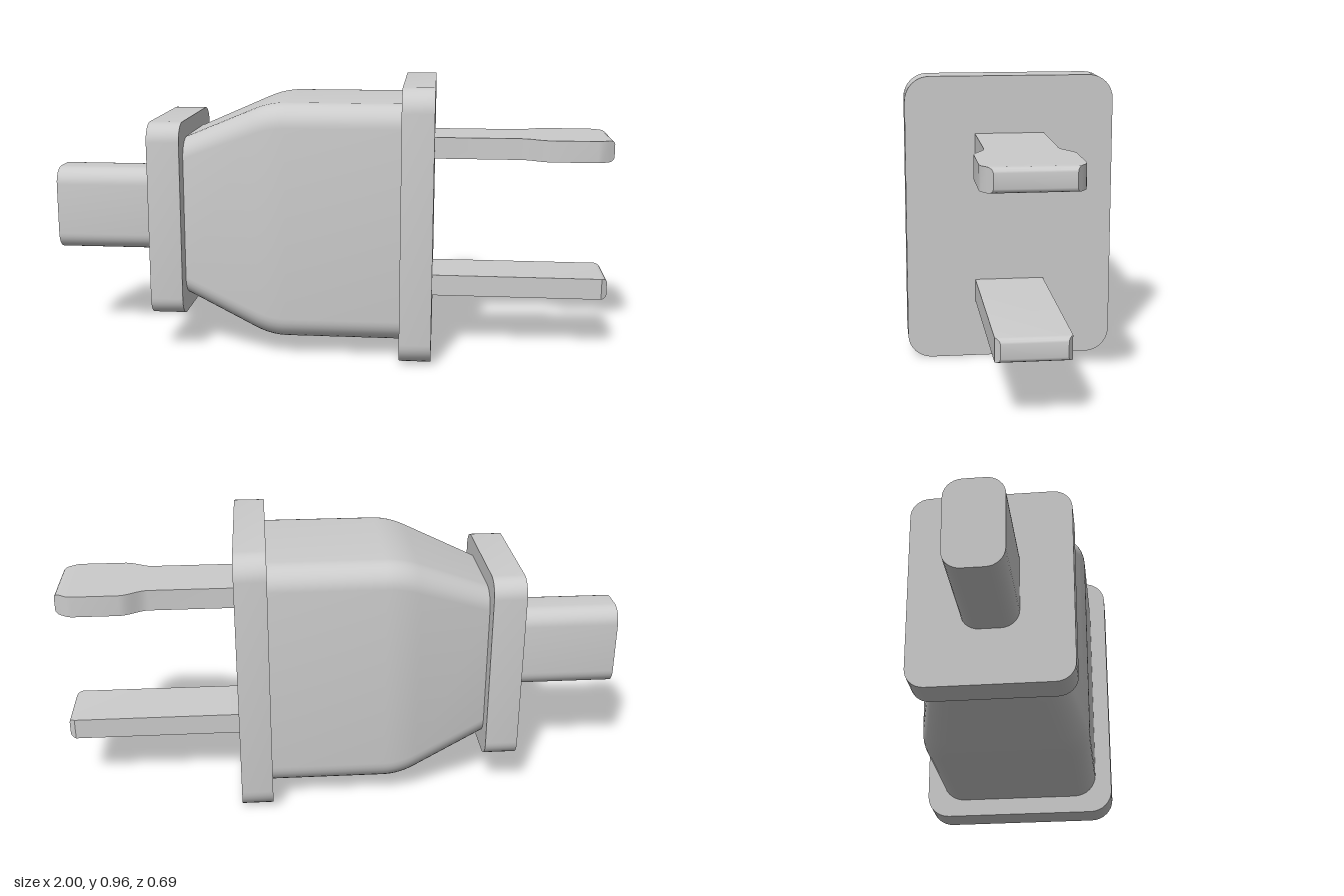
import * as THREE from 'three';
import { toCreasedNormals } from 'three/addons/utils/BufferGeometryUtils.js';

const MID_Y = 0.48;

// Rounded rectangle in the y/z plane, counterclockwise seen from +x
function ring(hy, hz, r, seg) {
  const pts = [];
  const corners = [[1, -1], [1, 1], [-1, 1], [-1, -1]];
  corners.forEach(([sy, sz], c) => {
    for (let i = 0; i <= seg; i++) {
      const a = (c + (seg ? i / seg : 0)) * Math.PI / 2;
      const oy = seg ? r * Math.sin(a) : sy * r;
      const oz = seg ? -r * Math.cos(a) : sz * r;
      pts.push([sy * (hy - r) + oy, sz * (hz - r) + oz]);
    }
  });
  return pts;
}

// Closed loft along x through sections [x, halfHeight, halfDepth, cornerRadius]
function loft(name, sections, y = MID_Y, seg = 8) {
  const pos = [], idx = [];
  const n = 4 * (seg + 1);
  for (const [x, hy, hz, r] of sections) {
    for (const [py, pz] of ring(hy, hz, r, seg)) pos.push(x, y + py, pz);
  }
  for (let i = 0; i < sections.length - 1; i++) {
    for (let j = 0; j < n; j++) {
      const a = i * n + j, b = i * n + (j + 1) % n;
      idx.push(a, b, a + n, b, b + n, a + n);
    }
  }
  const last = (sections.length - 1) * n, c = sections.length * n;
  pos.push(sections[0][0], y, 0, sections[sections.length - 1][0], y, 0);
  for (let j = 0; j < n; j++) {
    const k = (j + 1) % n;
    idx.push(c, k, j, c + 1, last + j, last + k);
  }
  const geo = new THREE.BufferGeometry();
  geo.setAttribute('position', new THREE.Float32BufferAttribute(pos, 3));
  geo.setIndex(idx);
  const mesh = new THREE.Mesh(
    toCreasedNormals(geo, 0.6),
    new THREE.MeshStandardMaterial({ color: 0xcccccc })
  );
  mesh.name = name;
  return mesh;
}

const block = (name, x0, x1, hy, hz, r) => loft(name, [[x0, hy, hz, r], [x1, hy, hz, r]]);

// Flat blade with a rounded tip; tipZ gives half width for any x
function prong(name, y, xs, halfWidth) {
  const sections = xs.map(x => [x, 0.0375, halfWidth(x), 0]);
  for (let i = 0; i <= 4; i++) {
    const a = i / 4 * Math.PI / 2;
    const x = 0.98 + 0.02 * Math.sin(a);
    sections.push([x, 0.0225 + 0.015 * Math.cos(a), halfWidth(x), 0]);
  }
  return loft(name, sections, y, 0);
}

export function createModel() {
  const group = new THREE.Group();
  group.name = 'plug';

  // Cable stub, collar and face plate
  group.add(block('cable', -1, -0.61, 0.152, 0.095, 0.06));
  group.add(block('collar', -0.615, -0.5, 0.345, 0.27, 0.065));
  group.add(block('facePlate', 0.27, 0.38, 0.48, 0.345, 0.08));

  // Grip body: straight taper blending into a straight block
  const body = [[-0.5, 0.285, 0.21, 0.07]];
  for (let i = 0; i <= 8; i++) {
    const t = i / 8, d = 0.06 * (1 - t) ** 2;
    body.push([-0.25 + 0.12 * t, 0.418 - 0.43 * d, 0.287 - 0.25 * d, 0.08]);
  }
  body.push([0.27, 0.418, 0.287, 0.08]);
  group.add(loft('body', body));

  // Upper prong flares to a wide head with clipped corners
  const flareXs = [0.38];
  for (let i = 0; i <= 8; i++) flareXs.push(0.68 + 0.1 * i / 8);
  flareXs.push(0.94, 0.955);
  group.add(prong('upperProng', 0.732, flareXs, x => {
    const wide = 0.115 + 0.04 * THREE.MathUtils.smoothstep(x, 0.68, 0.78);
    return wide - 0.035 * Math.max(0, (x - 0.95) / 0.05);
  }));

  // Lower prong is straight with a small tip bevel
  group.add(prong('lowerProng', 0.232, [0.38],
    x => 0.115 - 0.015 * Math.max(0, (x - 0.98) / 0.02)));

  return group;
}
